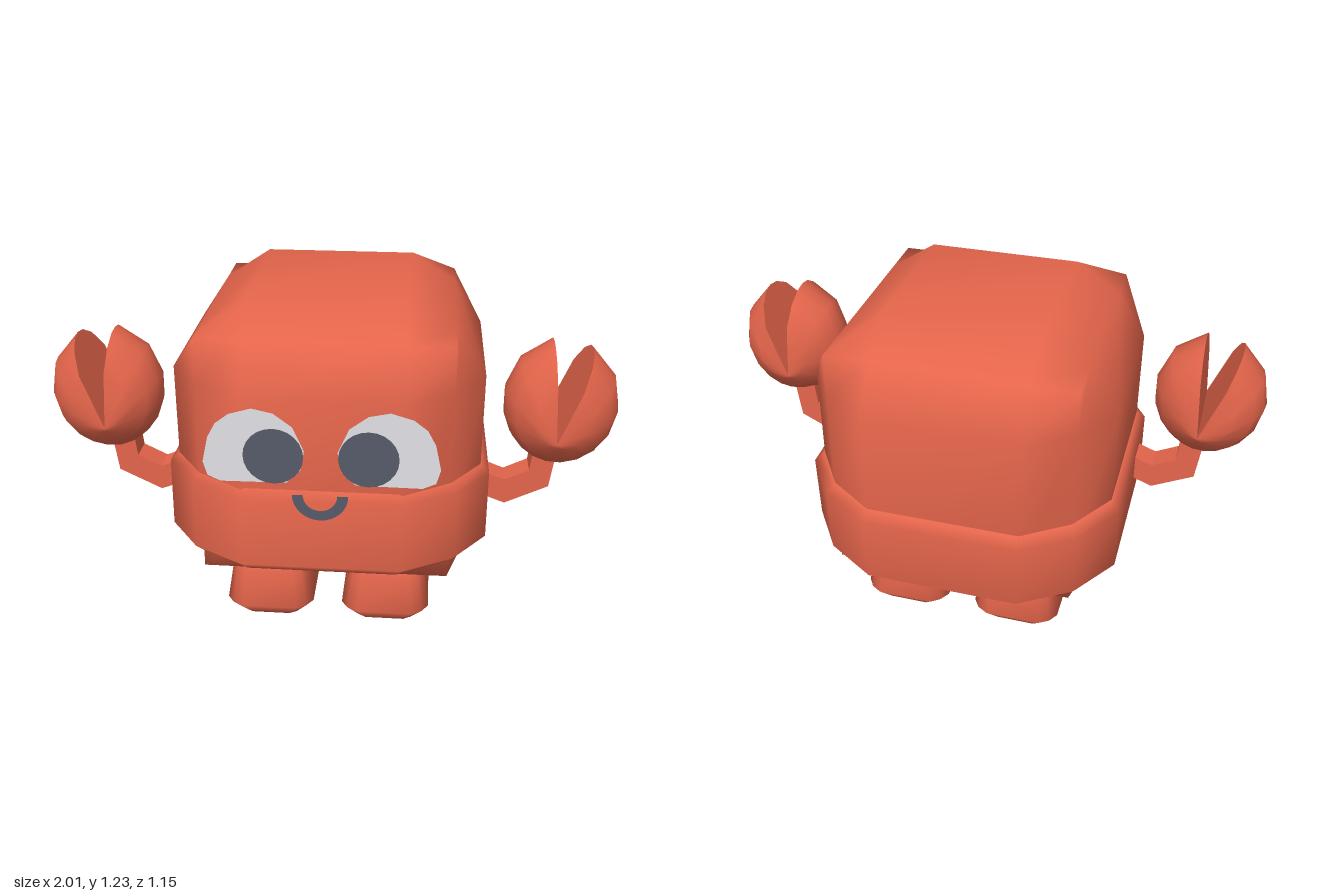
import * as THREE from 'three';
import { mergeVertices } from 'three/addons/utils/BufferGeometryUtils.js';

// Skin between rows of points; columns run counter-clockwise seen from the row direction
function loft(rows, closed) {
  const n = rows[0].length, idx = [];
  for (let r = 0; r < rows.length - 1; r++) {
    for (let j = 0; j < (closed ? n : n - 1); j++) {
      const k = (j + 1) % n, a = r * n + j, b = r * n + k, c = b + n, d = a + n;
      idx.push(a, b, c, a, c, d);
    }
  }
  const g = new THREE.BufferGeometry();
  g.setAttribute('position', new THREE.Float32BufferAttribute(rows.flat(2), 3));
  g.setIndex(idx);
  const m = mergeVertices(g, 1e-5);
  m.computeVertexNormals();
  return m;
}

// Closed outline in the xz plane from the points of one quarter (z axis to x axis)
function ring(quarter, s, y) {
  const back = [...quarter].reverse();
  return [
    ...quarter.map(([x, z]) => [x, z]), ...back.map(([x, z]) => [x, -z]),
    ...quarter.map(([x, z]) => [-x, -z]), ...back.map(([x, z]) => [-x, z]),
  ].map(([x, z]) => [x * s, y, z * s]);
}

function mirrored(geo) {
  const g = geo.index ? geo.clone() : mergeVertices(geo);
  g.scale(-1, 1, 1);
  const a = g.index.array;
  for (let i = 0; i < a.length; i += 3) [a[i], a[i + 1]] = [a[i + 1], a[i]];
  return g;
}

// Cube whose faces bulge to a flat plateau
function bodyGeometry() {
  const full = 0.535, edge = 0.43, inner = 0.27;
  const g = new THREE.BoxGeometry(2, 2, 2, 3, 3, 3);
  g.deleteAttribute('normal');
  g.deleteAttribute('uv');
  g.clearGroups();
  const p = g.attributes.position;
  for (let i = 0; i < p.count; i++) {
    const v = [p.getX(i), p.getY(i), p.getZ(i)];
    const extremes = v.filter((c) => Math.abs(c) > 0.9).length;
    const outer = extremes === 1 ? full : edge;
    p.setXYZ(i, ...v.map((c) => Math.sign(c) * (Math.abs(c) > 0.9 ? outer : inner)));
  }
  const m = mergeVertices(g, 1e-4);
  m.computeVertexNormals();
  return m;
}

// Egg-shaped pincer with a wedge cut out of the top: skin plus two flat walls
function clawGeometries() {
  const C = [0.805, 0.835], N = [0.785, 0.74], R = [0.2, 0.228, 0.18], zc = 0.155;
  const start = 1.634, end = 1.199 + Math.PI * 2, cols = 14;
  const hit = (t, k) => {
    const a = R[0] * k, b = R[1] * k;
    const ox = (N[0] - C[0]) / a, oy = (N[1] - C[1]) / b;
    const dx = Math.cos(t) / a, dy = Math.sin(t) / b;
    const A = dx * dx + dy * dy, B = ox * dx + oy * dy, D = ox * ox + oy * oy - 1;
    const u = (-B + Math.sqrt(B * B - A * D)) / A;
    return [N[0] + u * Math.cos(t), N[1] + u * Math.sin(t)];
  };
  const skin = [], wallA = [], wallB = [];
  const addRow = (row, hinge) => {
    skin.push(row);
    wallA.push([row[cols], hinge]);
    wallB.push([hinge, row[0]]);
  };
  const cap = (s) => [N[0], N[1], zc + s * R[2] * 0.92];
  addRow(Array(cols + 1).fill(cap(-1)), cap(-1));
  for (const deg of [150, 125, 105, 90, 75, 55, 30]) {
    const f = THREE.MathUtils.degToRad(deg), z = zc + R[2] * Math.cos(f), row = [];
    for (let j = 0; j <= cols; j++) {
      row.push([...hit(start + (end - start) * j / cols, Math.sin(f)), z]);
    }
    addRow(row, [N[0], N[1], z]);
  }
  addRow(Array(cols + 1).fill(cap(1)), cap(1));
  return { clawShell: loft(skin), clawOuterWall: loft(wallA), clawInnerWall: loft(wallB) };
}

export function createModel() {
  const red = new THREE.MeshStandardMaterial({ color: 0xe5654b });
  red.name = 'coral red';
  const white = new THREE.MeshStandardMaterial({ color: 0xe2e2e6, side: THREE.DoubleSide });
  white.name = 'eye white';
  const dark = new THREE.MeshStandardMaterial({ color: 0x555b69, side: THREE.DoubleSide });
  dark.name = 'dark slate';

  const model = new THREE.Group();
  model.name = 'crab';
  const add = (name, geo, mat, x = 0, y = 0, z = 0) => {
    const m = new THREE.Mesh(geo, mat);
    m.name = name;
    m.position.set(x, y, z);
    model.add(m);
    return m;
  };
  const addPair = (name, geo, mat) => {
    add(name + 'Left', geo, mat);
    add(name + 'Right', mirrored(geo), mat);
  };

  add('body', bodyGeometry(), red, 0, 0.695, 0);

  // Tilted belt around the lower body
  const beltPlan = [[0.27, 0.57], [0.45, 0.46], [0.566, 0.29]];
  const belt = loft([[0.6, -0.155], [0.94, -0.155], [1, -0.122], [1, 0.127], [0.945, 0.157], [0.85, 0.157]]
    .map(([s, y]) => ring(beltPlan, s, y)), true);
  add('belt', belt, red, 0, 0.465, 0).rotation.x = -0.045;

  // Four stubby legs
  const legPlan = [[0.1, 0.16], [0.137, 0.137], [0.16, 0.1]];
  const leg = loft([[0, 0], [0.7, 0], [1, 0.057], [0.86, 0.2], [0.8, 0.212], [0, 0.212]]
    .map(([s, y]) => ring(legPlan, s, y)), true);
  for (const [end, z] of [['front', 0.215], ['back', -0.215]]) {
    add(end + 'LegLeft', leg, red, 0.213, 0, z);
    add(end + 'LegRight', leg, red, -0.213, 0, z);
  }

  // Bent arms
  const armShape = new THREE.Shape([
    [0.5, 0.48], [0.635, 0.43], [0.788, 0.505], [0.808, 0.66],
    [0.725, 0.66], [0.715, 0.567], [0.63, 0.525], [0.5, 0.575],
  ].map(([x, y]) => new THREE.Vector2(x, y)));
  const arm = new THREE.ExtrudeGeometry(armShape, { depth: 0.095, bevelEnabled: false });
  arm.translate(0, 0, 0.083);
  addPair('arm', arm, red);

  for (const [name, geo] of Object.entries(clawGeometries())) addPair(name, geo, red);

  // Flat eyes, pupils and smile
  const eyeShape = new THREE.Shape([
    [0.055, 0.79], [0.068, 0.72], [0.115, 0.672], [0.335, 0.67], [0.378, 0.69], [0.392, 0.74], [0.372, 0.83],
    [0.345, 0.88], [0.3, 0.915], [0.225, 0.937], [0.155, 0.922], [0.092, 0.875],
  ].map(([x, y]) => new THREE.Vector2(x, y)));
  const eye = new THREE.ShapeGeometry(eyeShape);
  eye.translate(0, 0, 0.54);
  addPair('eye', eye, white);
  const pupil = new THREE.CircleGeometry(0.1, 24);
  pupil.translate(0.157, 0.77, 0.545);
  addPair('pupil', pupil, dark);
  add('smile', new THREE.RingGeometry(0.057, 0.093, 16, 1, Math.PI, Math.PI), dark, 0, 0.647, 0.575);

  return model;
}
